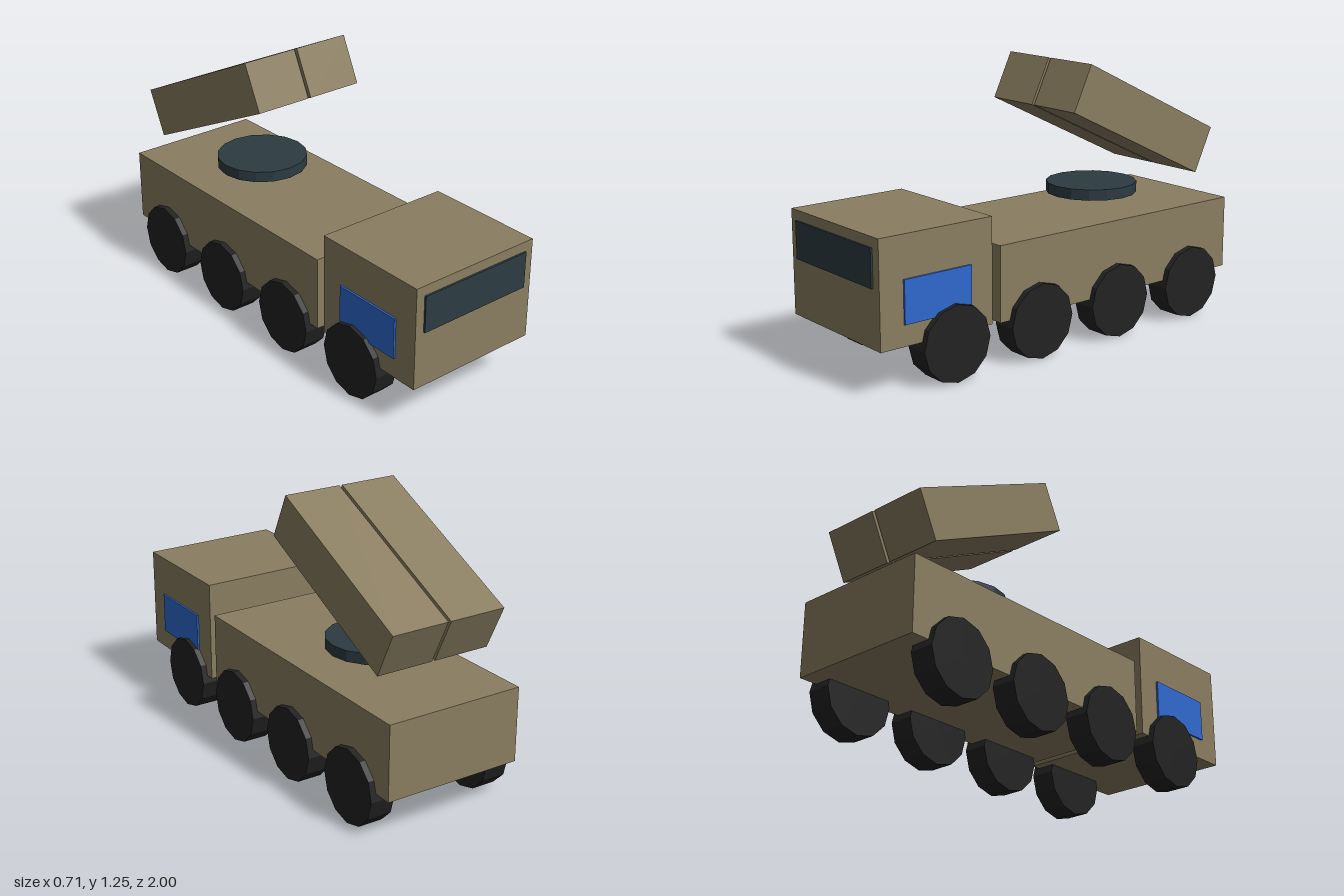
import * as THREE from 'three';

const mat = (name, color) => {
  const m = new THREE.MeshStandardMaterial({ color });
  m.name = name;
  return m;
};

export function createModel() {
  const tan = mat('tan paint', 0x8a7d60);
  const slate = mat('dark slate', 0x2c3b42);
  const blue = mat('blue panel', 0x2e69cf);
  const rubber = mat('black rubber', 0x222222);

  const truck = new THREE.Group();
  truck.name = 'launcherTruck';

  const add = (parent, name, geometry, material, x, y, z) => {
    const mesh = new THREE.Mesh(geometry, material);
    mesh.name = name;
    mesh.position.set(x, y, z);
    parent.add(mesh);
    return mesh;
  };
  const box = (w, h, d) => new THREE.BoxGeometry(w, h, d);
  const flat = (geometry) => {
    const g = geometry.toNonIndexed();
    g.computeVertexNormals();
    return g;
  };

  // Cab and cargo bed
  add(truck, 'cab', box(0.652, 0.47, 0.568), tan, 0, 0.44, 0.707);
  add(truck, 'bed', box(0.652, 0.34, 1.38), tan, 0, 0.37, -0.31);

  // Cab glazing: thin plates on the front and both sides
  add(truck, 'windshield', box(0.566, 0.168, 0.009), slate, 0, 0.546, 0.9955);
  for (const [side, s] of [['left', 1], ['right', -1]]) {
    add(truck, side + 'DoorPanel', box(0.009, 0.19, 0.338), blue, s * 0.3305, 0.394, 0.707);
  }

  // Four axles of faceted wheels
  const wheelGeo = flat(new THREE.CylinderGeometry(0.17, 0.17, 0.114, 12).rotateZ(Math.PI / 2));
  [0.627, 0.167, -0.293, -0.753].forEach((z, i) => {
    for (const [side, s] of [['left', 1], ['right', -1]]) {
      add(truck, `${side}Wheel${i + 1}`, wheelGeo, rubber, s * 0.297, 0.17, z);
    }
  });

  // Turntable above the bed
  const disc = flat(new THREE.CylinderGeometry(0.212, 0.212, 0.05, 16));
  add(truck, 'turntable', disc, slate, 0, 0.624, -0.43);

  // Raised launcher: two pods with a rail in the gap between them
  const launcher = new THREE.Group();
  launcher.name = 'launcher';
  launcher.position.set(0, 0.962, -0.507);
  launcher.rotation.x = -0.447;
  truck.add(launcher);
  for (const [side, s] of [['left', 1], ['right', -1]]) {
    add(launcher, side + 'Pod', box(0.27, 0.226, 0.854), tan, s * 0.142, 0, 0);
  }
  add(launcher, 'rail', box(0.03, 0.04, 0.79), slate, 0, -0.088, 0);

  return truck;
}
